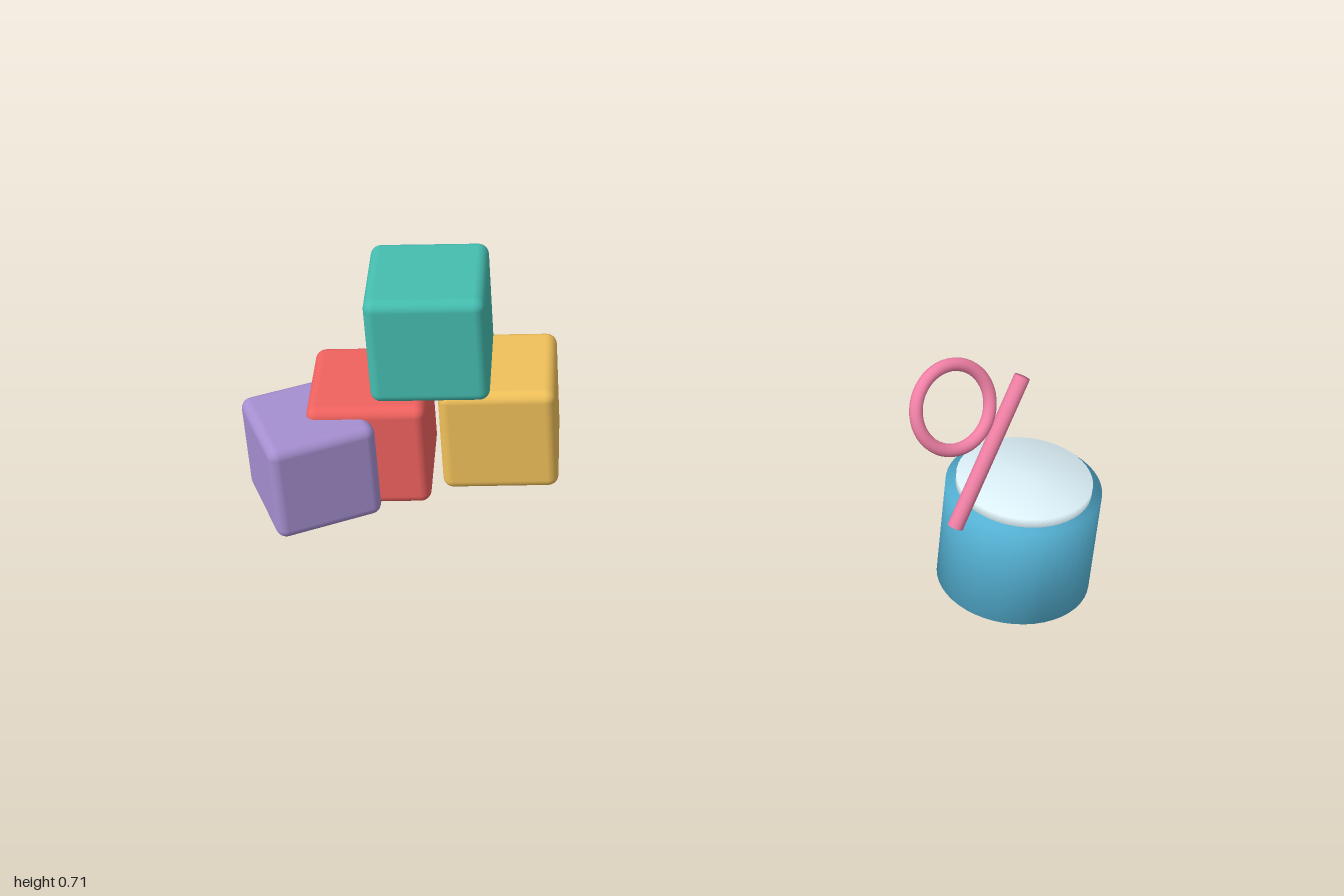
import * as THREE from 'three';
import { mergeVertices } from 'three/addons/utils/BufferGeometryUtils.js';
import { RoundedBoxGeometry } from 'three/addons/geometries/RoundedBoxGeometry.js';

// Shared normals give the soft shading over the rims
function softCylinder(radius, height, sides) {
  const geometry = new THREE.CylinderGeometry(radius, radius, height, sides);
  geometry.deleteAttribute('normal');
  geometry.deleteAttribute('uv');
  const merged = mergeVertices(geometry, 1e-5);
  merged.computeVertexNormals();
  return merged;
}

export function createModel() {
  const group = new THREE.Group();

  function add(name, geometry, color, x, y, z) {
    const mesh = new THREE.Mesh(geometry, new THREE.MeshStandardMaterial({ color }));
    mesh.name = name;
    mesh.position.set(x, y, z);
    group.add(mesh);
    return mesh;
  }

  // Stacked toy blocks: name, color, size, centre, turn about y
  const blocks = [
    ['redBlock', 0xf0625f, 0.284, -0.698, 0.145, -0.237, 0],
    ['yellowBlock', 0xf0c05a, 0.284, -0.388, 0.145, -0.291, 0],
    ['tealBlock', 0x45bdb0, 0.284, -0.543, 0.43, -0.259, 0],
    ['purpleBlock', 0xa58fd0, 0.262, -0.84, 0.133, -0.13, 0.4],
  ];
  for (const [name, color, size, x, y, z, turn] of blocks) {
    add(name, new RoundedBoxGeometry(size, size, size, 4, 0.026), color, x, y, z).rotation.y = turn;
  }

  // Jar with a pale lid
  add('jar', softCylinder(0.177, 0.265, 48), 0x58b8dc, 0.823, 0.1325, 0.203);
  add('lid', softCylinder(0.154, 0.044, 48), 0xdcf0f8, 0.823, 0.265, 0.203);

  // Wand stick leaning out over the jar
  const pink = 0xf080a5;
  const foot = new THREE.Vector3(0.648, 0.258, 0.341);
  const tip = new THREE.Vector3(0.785, 0.583, 0.225);
  const middle = foot.clone().add(tip).multiplyScalar(0.5);
  const stick = add('wandStick', softCylinder(0.018, foot.distanceTo(tip), 20), pink, middle.x, middle.y, middle.z);
  stick.quaternion.setFromUnitVectors(new THREE.Vector3(0, 1, 0), tip.clone().sub(foot).normalize());

  // Tilted wand ring
  const ring = add('wandRing', new THREE.TorusGeometry(0.0925, 0.0145, 16, 48), pink, 0.612, 0.607, 0.369);
  ring.quaternion.setFromUnitVectors(new THREE.Vector3(0, 0, 1), new THREE.Vector3(0.4, 0.41, 0.82).normalize());

  return group;
}
